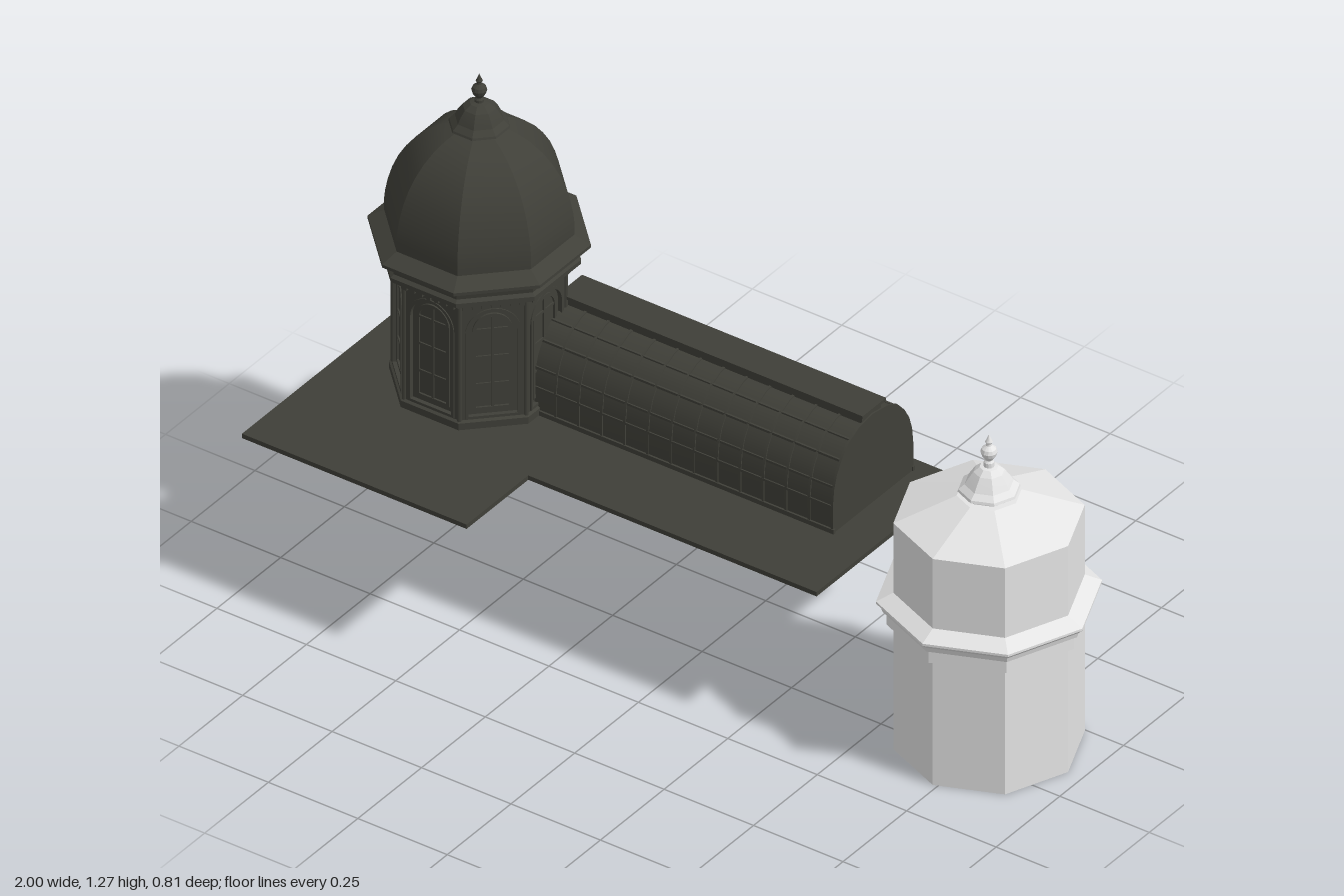
import * as THREE from 'three';
import { toCreasedNormals } from 'three/addons/utils/BufferGeometryUtils.js';

const dark = new THREE.MeshStandardMaterial({ color: 0x3f3f38, side: THREE.DoubleSide });
dark.name = 'dark olive';
const light = new THREE.MeshStandardMaterial({ color: 0xe4e4e4, side: THREE.DoubleSide });
light.name = 'pale grey';
const FLAT = 1 / Math.cos(Math.PI / 8);

function add(parent, name, geo, mat, x = 0, y = 0, z = 0) {
  const m = new THREE.Mesh(geo, mat);
  m.name = name;
  m.position.set(x, y, z);
  parent.add(m);
  return m;
}

// Octagonal solid from [radius, height] pairs; flats = true turns a flat side to the front
function octagon(points, flats, sides = 8) {
  const k = flats ? FLAT : 1;
  const pts = points.map(([r, y]) => new THREE.Vector2(r * k, y));
  return toCreasedNormals(new THREE.LatheGeometry(pts, sides, flats ? Math.PI / 8 : 0), 0.22);
}

// Octagonal cap with a turned finial, standing on height y
function finial(parent, mat, y, flats, s, cap) {
  add(parent, 'finialCap', octagon(cap, flats), mat, 0, y, 0);
  const spike = [[0.013, 0.055], [0.012, 0.075], [0.008, 0.08], [0.017, 0.093], [0.02, 0.103], [0.017, 0.112], [0.007, 0.12], [0.006, 0.125], [0.009, 0.13], [0.005, 0.138], [0, 0.15]];
  add(parent, 'finialSpike', octagon(spike.map(([r, h]) => [r * s, h * s]), false, 12), mat, 0, y, 0);
}

// L-shaped slab with stepped edges
function base(parent) {
  [[0, 0.428, 0.012], [0.01, 0.416, 0.008], [0.02, 0.408, 0.008]].forEach(([i, top, depth]) => {
    const s = new THREE.Shape([
      [-1 + i, -0.405 + i], [0.434 - i, -0.405 + i], [0.434 - i, 0.16 - i],
      [-0.372 - i, 0.16 - i], [-0.372 - i, 0.402 - i], [-1 + i, 0.402 - i],
    ].map(([x, z]) => new THREE.Vector2(x, z)));
    const g = new THREE.ExtrudeGeometry(s, { depth, bevelEnabled: false }).rotateX(Math.PI / 2);
    add(parent, 'baseSlab', g, dark, 0, top, 0);
  });
}

// Arched outline, bottom y0, springing y1, radius r
function arch(path, r, y0, y1) {
  path.moveTo(-r, y0);
  path.lineTo(r, y0);
  path.lineTo(r, y1);
  path.absarc(0, y1, r, 0, Math.PI, false);
  path.lineTo(-r, y0);
  return path;
}

// Arched frame between an outer and an inner radius
function archFrame(outer, inner, y0, y1, depth) {
  const shape = arch(new THREE.Shape(), outer, y0, y1);
  shape.holes.push(arch(new THREE.Path(), inner, y0 + outer - inner, y1));
  return new THREE.ExtrudeGeometry(shape, { depth, bevelEnabled: false, curveSegments: 10 });
}

function domedPavilion() {
  const g = new THREE.Group();
  g.name = 'domedPavilion';
  g.position.set(-0.687, 0, -0.09);
  add(g, 'plinth', octagon([[0.195, 0.428], [0.195, 0.446], [0.188, 0.45]], true), dark);
  add(g, 'windowPanes', octagon([[0.179, 0.428], [0.179, 0.77]], true), dark);

  // Eight walls with nested arched windows
  const half = 0.188 * Math.tan(Math.PI / 8);
  const wallShape = new THREE.Shape([
    new THREE.Vector2(-half, 0.428), new THREE.Vector2(half, 0.428),
    new THREE.Vector2(half, 0.775), new THREE.Vector2(-half, 0.775),
  ]);
  wallShape.holes.push(arch(new THREE.Path(), 0.058, 0.458, 0.688));
  const wallGeo = new THREE.ExtrudeGeometry(wallShape, { depth: 0.01, bevelEnabled: false, curveSegments: 10 });
  const trimGeo = archFrame(0.064, 0.057, 0.452, 0.688, 0.004);
  const innerGeo = archFrame(0.046, 0.038, 0.47, 0.688, 0.005);
  for (let i = 0; i < 8; i++) {
    const side = new THREE.Group();
    side.name = 'windowBay';
    side.rotation.y = i * Math.PI / 4;
    g.add(side);
    add(side, 'wall', wallGeo, dark, 0, 0, 0.178);
    add(side, 'windowTrim', trimGeo, dark, 0, 0, 0.187);
    add(side, 'innerFrame', innerGeo, dark, 0, 0, 0.179);
    add(side, 'mullion', new THREE.BoxGeometry(0.006, 0.25, 0.006), dark, 0, 0.6, 0.18);
    for (const y of [0.54, 0.615, 0.69]) add(side, 'glazingBar', new THREE.BoxGeometry(0.08, 0.006, 0.005), dark, 0, y, 0.18);
    for (let k = -3; k <= 3; k++) add(side, 'dentil', new THREE.BoxGeometry(0.011, 0.014, 0.014), dark, k * 0.022, 0.767, 0.194);
    // Pilaster on the corner
    const corner = new THREE.Group();
    corner.name = 'corner';
    corner.rotation.y = Math.PI / 8;
    side.add(corner);
    add(corner, 'pilaster', new THREE.CylinderGeometry(0.006, 0.006, 0.33, 8), dark, 0, 0.605, 0.201);
  }

  add(g, 'cornice', octagon([[0.18, 0.772], [0.206, 0.772], [0.206, 0.782], [0.22, 0.784], [0.22, 0.795], [0.212, 0.802], [0.216, 0.822],
    [0.241, 0.832], [0.241, 0.84], [0.205, 0.862]], true), dark);
  add(g, 'dome', octagon([[0.205, 0.858], [0.206, 0.89], [0.203, 0.92], [0.197, 0.952], [0.188, 0.985], [0.175, 1.018],
    [0.158, 1.048], [0.137, 1.076], [0.111, 1.101], [0.083, 1.12], [0.055, 1.133]], true), dark);
  // Bell-shaped cap
  finial(g, dark, 1.135, true, 0.92, [[0.055, -0.01], [0.055, 0], [0.067, 0], [0.065, 0.005], [0.053, 0.018],
    [0.046, 0.034], [0.036, 0.049], [0.021, 0.06], [0, 0.066]]);
  return g;
}

// Cross-section of the glasshouse, grown outward by d
function vaultShape(d) {
  const pts = [[0.155, 0.428], [0.155, 0.5], [0.15, 0.545], [0.139, 0.58], [0.12, 0.612], [0.094, 0.641], [0.055, 0.66], [0, 0.668]]
    .map(([z, y]) => [z * (1 + d / 0.155), 0.428 + (y - 0.428) * (1 + d / 0.236)]);
  const all = pts.concat(pts.slice(0, -1).reverse().map(([z, y]) => [-z, y]));
  return new THREE.Shape(all.map(([z, y]) => new THREE.Vector2(z, y)));
}

function glasshouse() {
  const g = new THREE.Group();
  g.name = 'glasshouse';
  g.position.set(0.004, 0, -0.21);
  const slice = (d, depth) => toCreasedNormals(
    new THREE.ExtrudeGeometry(vaultShape(d), { depth, bevelEnabled: false }).rotateY(Math.PI / 2), 0.5);
  add(g, 'vault', slice(0, 0.84), dark, -0.52);
  const rib = slice(0.003, 0.006);
  for (let i = 0; i <= 13; i++) add(g, 'rib', rib, dark, -0.52 + i * 0.0645);
  // Long glazing bars on both slopes
  for (const s of [-1, 1]) {
    for (const [z, y] of [[0.155, 0.5], [0.148, 0.55], [0.122, 0.609], [0.085, 0.645]]) {
      add(g, 'purlin', new THREE.BoxGeometry(0.84, 0.006, 0.006), dark, -0.1, y, s * z);
    }
    add(g, 'sill', new THREE.BoxGeometry(0.85, 0.012, 0.008), dark, -0.097, 0.434, s * 0.156);
  }
  add(g, 'ridgeVent', new THREE.BoxGeometry(0.84, 0.035, 0.075), dark, -0.1, 0.668, 0);
  add(g, 'ridgeCap', new THREE.BoxGeometry(0.85, 0.008, 0.092), dark, -0.097, 0.687, 0);
  // Gable bars
  for (const z of [-0.1, -0.05, 0, 0.05, 0.1]) {
    const h = 0.225 - Math.abs(z) * 0.4;
    add(g, 'gableBar', new THREE.BoxGeometry(0.006, h, 0.006), dark, 0.321, 0.428 + h / 2, z);
  }
  add(g, 'gableRail', new THREE.BoxGeometry(0.006, 0.006, 0.305), dark, 0.321, 0.52, 0);
  return g;
}

function paleTower() {
  const g = new THREE.Group();
  g.name = 'paleTower';
  g.position.set(0.738, 0, -0.09);
  // Hollow shaft, open underneath
  add(g, 'shaft', octagon([[0.209, 0.62], [0.209, 0], [0.221, 0], [0.221, 0.625]], false), light);
  add(g, 'belt', octagon([[0.22, 0.347], [0.237, 0.347], [0.237, 0.378], [0.246, 0.383],
    [0.25, 0.396], [0.261, 0.407], [0.261, 0.413], [0.221, 0.433]], false), light);
  add(g, 'roof', octagon([[0.221, 0.625], [0.075, 0.685], [0, 0.69]], false), light);
  // Flared cap
  finial(g, light, 0.696, false, 1, [[0.06, -0.012], [0.06, 0], [0.073, 0], [0.071, 0.006], [0.057, 0.018],
    [0.047, 0.034], [0.036, 0.05], [0.022, 0.062], [0, 0.066]]);
  return g;
}

export function createModel() {
  const model = new THREE.Group();
  model.name = 'glasshouseAndTower';
  base(model);
  model.add(domedPavilion(), glasshouse(), paleTower());
  return model;
}
